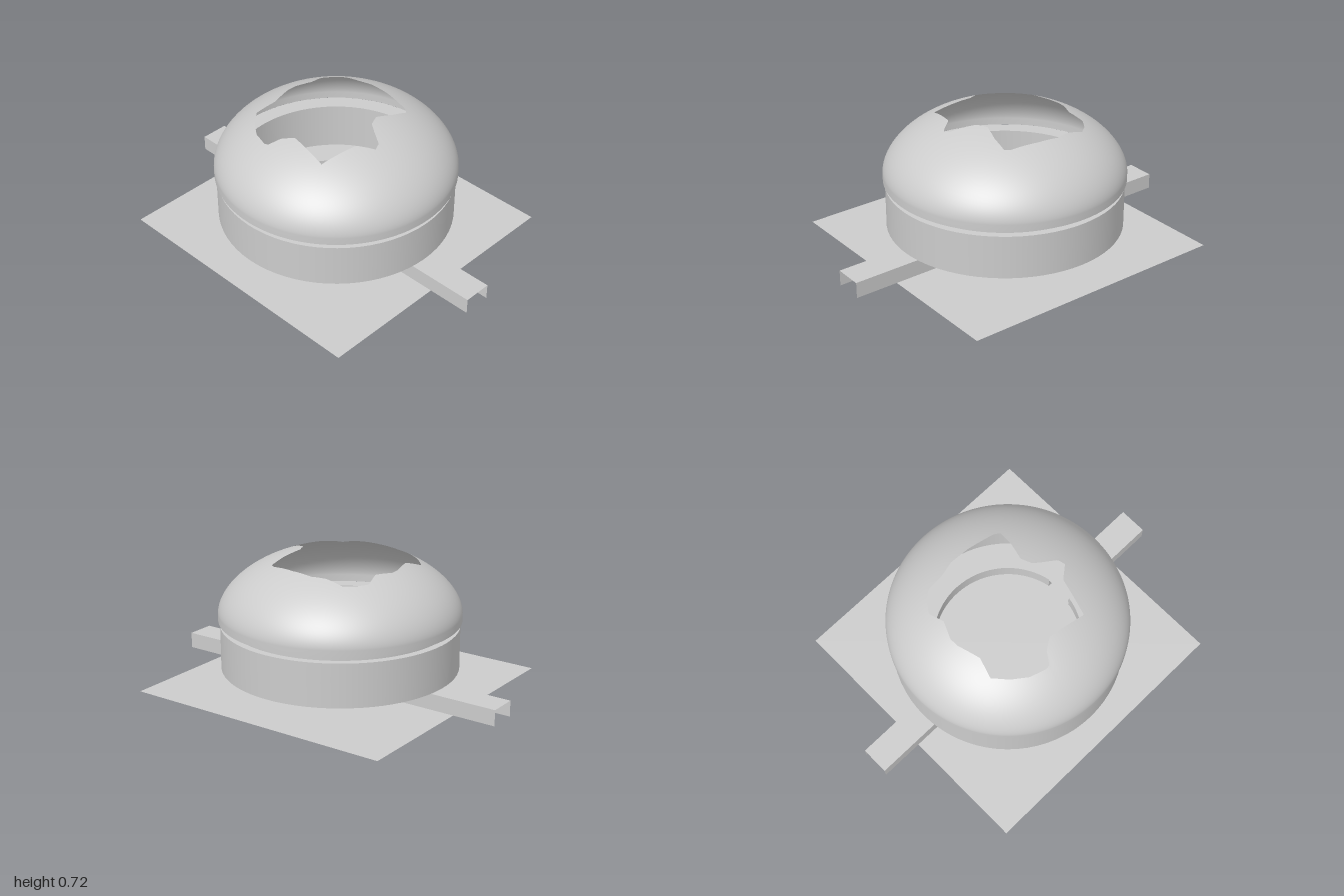
import * as THREE from 'three';
import { mergeGeometries } from 'three/addons/utils/BufferGeometryUtils.js';

const material = new THREE.MeshStandardMaterial({ color: 0xcccccc, side: THREE.DoubleSide });
const SEGMENTS = 72;
const DOME_R = 0.65;

// Broken opening of the dome, seen from above as [x, z]
const HOLE = [
  [-0.40, -0.12], [-0.37, -0.21], [-0.31, -0.29], [-0.235, -0.355], [-0.13, -0.325],
  [0, -0.36], [0.05, -0.36], [0.14, -0.32], [0.23, -0.34], [0.29, -0.30], [0.33, -0.25],
  [0.33, -0.15], [0.35, -0.07], [0.34, 0.05], [0.31, 0.20], [0.29, 0.23], [0.20, 0.22],
  [0.10, 0.19], [0.04, 0.215], [0.01, 0.26], [-0.03, 0.33], [-0.07, 0.345], [-0.13, 0.27],
  [-0.33, 0.22], [-0.30, 0], [-0.34, -0.06], [-0.395, -0.095],
];

function mesh(geometry, name) {
  const m = new THREE.Mesh(geometry, material);
  m.name = name;
  return m;
}

// Sharp-edged turned part: every profile segment is its own band
function turned(profile, phiStart = 0, phiLength = Math.PI * 2, segments = SEGMENTS) {
  const bands = [];
  for (let i = 0; i + 1 < profile.length; i++) {
    const pair = [profile[i], profile[i + 1]].map(([r, y]) => new THREE.Vector2(r, y));
    bands.push(new THREE.LatheGeometry(pair, segments, phiStart, phiLength));
  }
  return mergeGeometries(bands);
}

// Distance from the axis to the jagged opening in a given direction
function holeRadius(angle) {
  const dx = Math.sin(angle), dz = Math.cos(angle);
  let best = 0;
  HOLE.forEach(([ax, az], i) => {
    const [bx, bz] = HOLE[(i + 1) % HOLE.length];
    const a = ax * dz - az * dx, b = bx * dz - bz * dx;
    if (a * b > 0 || a === b) return;
    const t = a / (a - b);
    best = Math.max(best, (ax + (bx - ax) * t) * dx + (az + (bz - az) * t) * dz);
  });
  return best;
}

// Dome rows run from the opening out to the widest ring, then down a short skirt
function domeGeometry() {
  const cols = 288, rows = 18, positions = [], index = [];
  for (let j = 0; j <= rows + 1; j++) {
    for (let i = 0; i < cols; i++) {
      const angle = (i / cols) * Math.PI * 2;
      const start = Math.asin(holeRadius(angle) / DOME_R);
      const phi = start + (Math.PI / 2 - start) * Math.min(j / rows, 1);
      const r = DOME_R * Math.sin(phi);
      const y = j > rows ? 0.36 : 0.40 + 0.345 * Math.pow(Math.max(Math.cos(phi), 0), 1.16);
      positions.push(r * Math.sin(angle), y, r * Math.cos(angle));
    }
  }
  for (let j = 0; j <= rows; j++) {
    for (let i = 0; i < cols; i++) {
      const a = j * cols + i, b = j * cols + (i + 1) % cols;
      index.push(a, a + cols, b, b, a + cols, b + cols);
    }
  }
  const g = new THREE.BufferGeometry();
  g.setAttribute('position', new THREE.Float32BufferAttribute(positions, 3));
  g.setIndex(index);
  g.computeVertexNormals();
  return g;
}

// Inverted U channel running outward from the foot
function tunnel(name, side) {
  const group = new THREE.Group();
  group.name = name;
  const length = 0.6, z = side * 0.7, w = 0.078, h = 0.087;
  const roof = mesh(new THREE.PlaneGeometry(w * 2, length).rotateX(-Math.PI / 2), 'tunnelRoof');
  roof.position.set(0, h, z);
  group.add(roof);
  for (const s of [-1, 1]) {
    const wall = mesh(new THREE.PlaneGeometry(length, h).rotateY(s * Math.PI / 2), 'tunnelWall');
    wall.position.set(s * w, h / 2, z);
    group.add(wall);
  }
  return group;
}

export function createModel() {
  const model = new THREE.Group();
  model.name = 'brokenDomeBuilding';

  model.add(mesh(new THREE.PlaneGeometry(1.52, 1.52).rotateX(-Math.PI / 2), 'ground'));

  // Hollow drum, recessed neck and the underside of the dome
  model.add(mesh(turned([
    [0.41, 0.093], [0.64, 0.093], [0.64, 0.33], [0.56, 0.33],
  ]), 'drum'));
  model.add(mesh(turned([[0.56, 0.33], [0.56, 0.093]]), 'drumInnerWall'));
  model.add(mesh(turned([
    [0.60, 0.33], [0.60, 0.36], [0.56, 0.36], [0.56, 0.33],
  ]), 'neck'));
  model.add(mesh(turned([[0.60, 0.36], [DOME_R, 0.36]]), 'domeUnderside'));
  model.add(mesh(domeGeometry(), 'dome'));

  // Foot wall in two halves, leaving a passage for the tunnels
  const gap = Math.asin(0.078 / 0.41);
  for (const [name, start] of [['footLeft', 0], ['footRight', Math.PI]]) {
    model.add(mesh(turned([[0.41, 0], [0.41, 0.093]],
      start + gap, Math.PI - 2 * gap, SEGMENTS / 2), name));
  }
  model.add(tunnel('frontTunnel', 1), tunnel('backTunnel', -1));
  return model;
}
